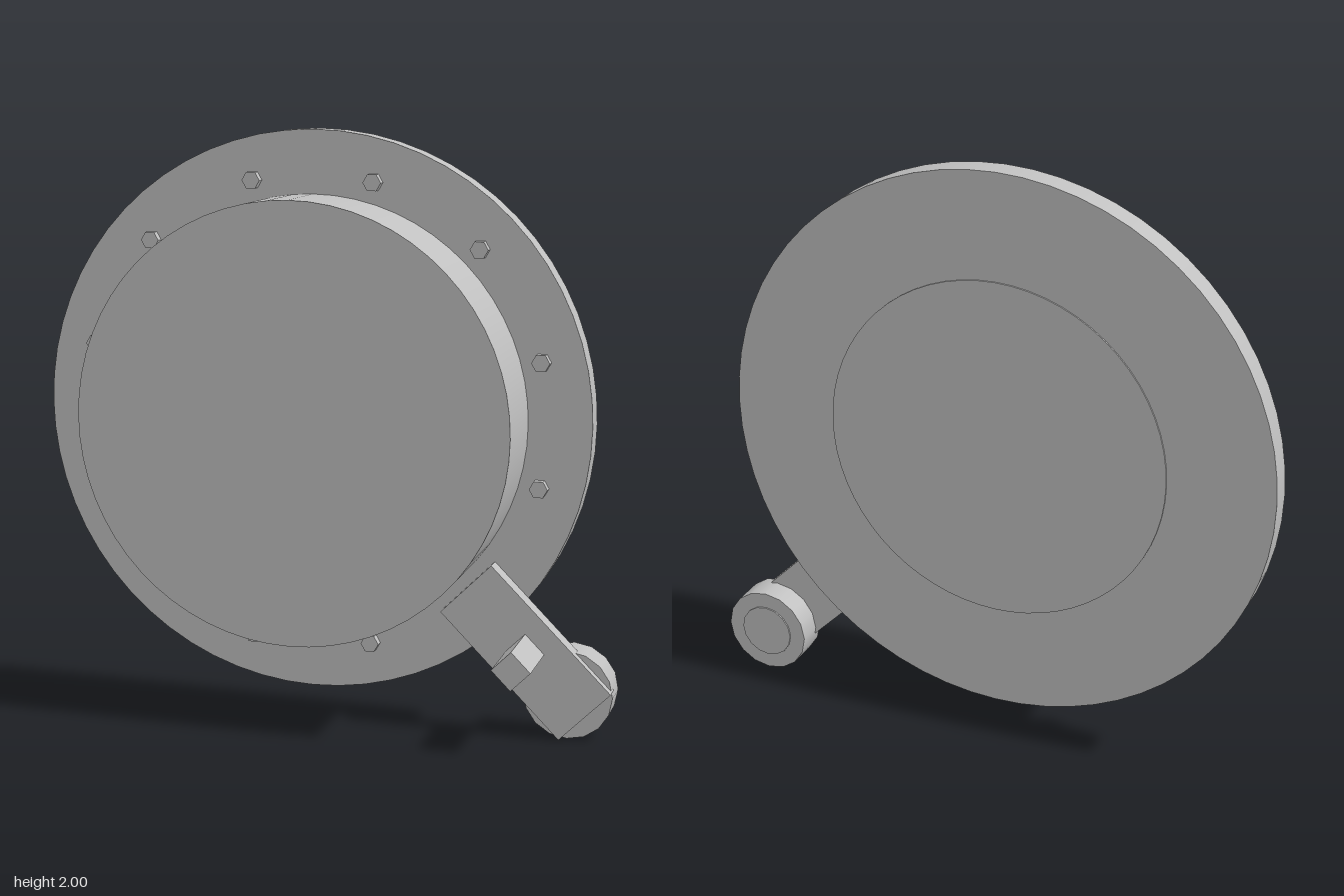
import * as THREE from 'three';

export function createModel() {
  const model = new THREE.Group();
  const metal = new THREE.MeshStandardMaterial({ color: 0xc0c0c0 });
  metal.name = 'grey metal';

  const add = (name, geometry, x, y, z, turn = 0) => {
    const mesh = new THREE.Mesh(geometry, metal);
    mesh.name = name;
    mesh.position.set(x, y, z);
    mesh.rotation.z = turn;
    model.add(mesh);
  };
  // Cylinder lying along z, from z0 (back) to z1 (front)
  const disc = (name, x, y, r, z0, z1, sides) => {
    const geometry = new THREE.CylinderGeometry(r, r, z1 - z0, sides);
    geometry.rotateX(Math.PI / 2);
    geometry.rotateZ(Math.PI / 2);
    add(name, geometry, x, y, (z0 + z1) / 2);
  };

  // Round cover: flange, raised drum and shallow rear plate
  const cx = -0.047, cy = 1.05;
  disc('flange', cx, cy, 0.95, -0.18, -0.097, 64);
  disc('drum', cx, cy, 0.737, -0.11, 0.18, 64);
  disc('rearPlate', cx, cy, 0.59, -0.17, -0.185, 64);
  model.children[2].geometry.dispose();
  model.remove(model.children[2]);
  disc('rearPlate', cx, cy, 0.59, -0.185, -0.17, 64);

  // Ring of twelve hexagonal bolts
  for (let i = 0; i < 12; i++) {
    const a = (i + 0.5) * Math.PI / 6;
    const bolt = new THREE.CylinderGeometry(0.031, 0.031, 0.03, 6).toNonIndexed();
    bolt.rotateX(Math.PI / 2);
    bolt.rotateZ(Math.PI / 2);
    bolt.computeVertexNormals();
    add('bolt', bolt, cx + 0.807 * Math.cos(a), cy + 0.807 * Math.sin(a), -0.084);
  }

  // Slanted latch arm with a square peg
  const slant = -Math.PI / 4;
  add('latchArm', new THREE.BoxGeometry(0.575, 0.241, 0.06), 0.705, 0.295, -0.065, slant);
  add('latchPeg', new THREE.BoxGeometry(0.092, 0.092, 0.245), 0.705, 0.295, 0.065, slant);

  // Pivot behind the end of the arm
  disc('pivot', 0.845, 0.155, 0.15, -0.18, -0.065, 16);
  disc('pivotCap', 0.845, 0.155, 0.095, -0.185, -0.17, 16);

  return model;
}
